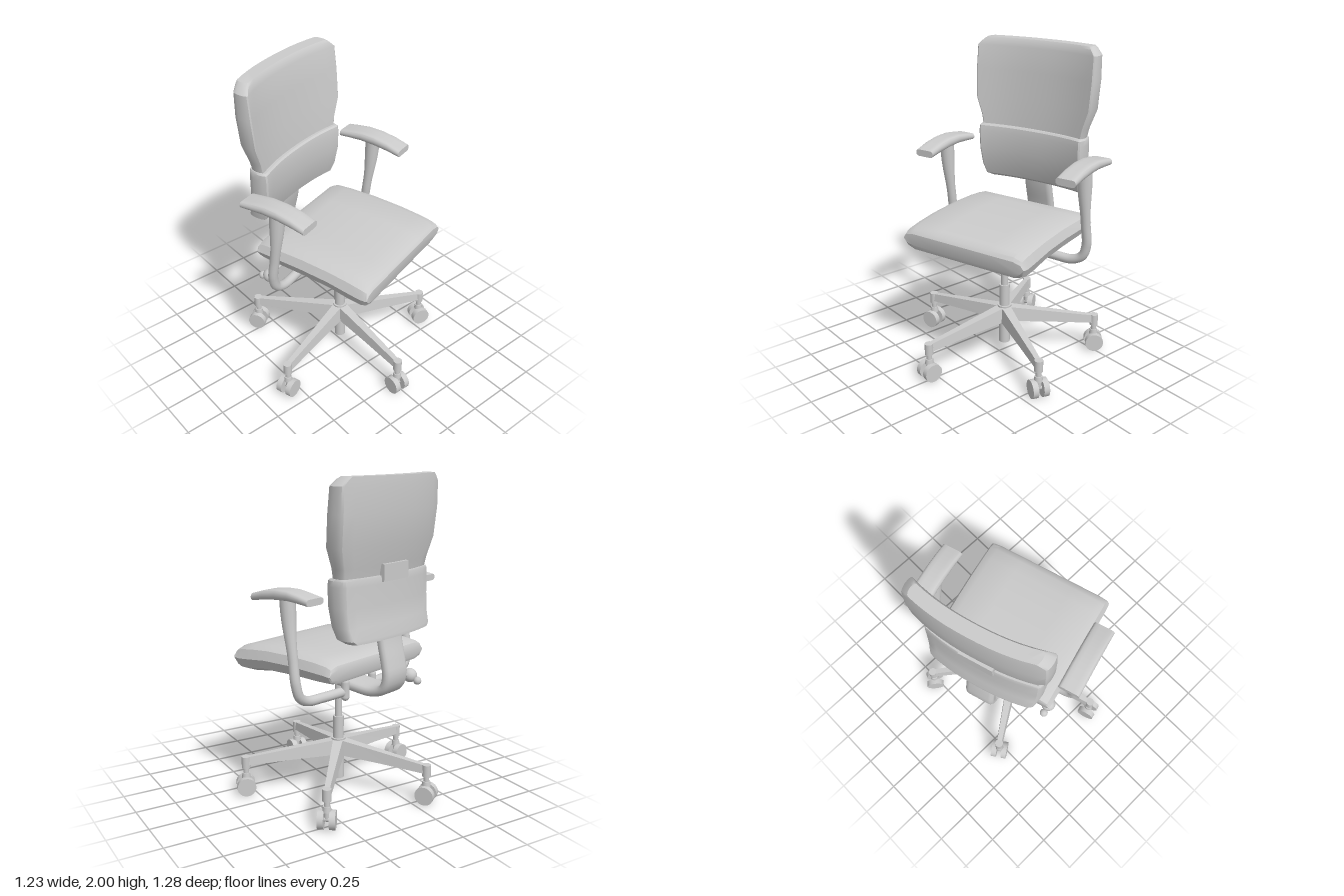
import * as THREE from 'three';
import { toCreasedNormals } from 'three/addons/utils/BufferGeometryUtils.js';

const material = new THREE.MeshStandardMaterial({ color: 0xcccccc, side: THREE.DoubleSide });

function add(parent, name, geometry, x = 0, y = 0, z = 0) {
  const mesh = new THREE.Mesh(geometry, material);
  mesh.name = name;
  mesh.position.set(x, y, z);
  parent.add(mesh);
  return mesh;
}

// Skin a list of rings (arrays of [x, y, z]) and cap both ends
function loft(rings, crease = 0.6) {
  const n = rings[0].length;
  const pos = rings.flat(2);
  const index = [];
  for (let i = 0; i < rings.length - 1; i++) {
    for (let j = 0; j < n; j++) {
      const a = i * n + j, b = i * n + (j + 1) % n;
      index.push(a, b, b + n, a, b + n, a + n);
    }
  }
  // Each cap is a strip between opposite points, so curved slabs close cleanly
  [0, rings.length - 1].forEach((r, end) => {
    for (let j = 0; j < n / 2 - 1; j++) {
      const [a, b, c, d] = [j, j + 1, n - 2 - j, n - 1 - j].map(k => r * n + k);
      if (end) index.push(a, b, c, a, c, d); else index.push(c, b, a, d, c, a);
    }
  });
  const g = new THREE.BufferGeometry();
  g.setAttribute('position', new THREE.Float32BufferAttribute(pos, 3));
  g.setIndex(index);
  return toCreasedNormals(g, crease);
}

// Slab outline: [side, s] pairs with s in -1..1 across the thickness and rounded ends of depth r
function slab(hw, r, spans = 12, arc = 6) {
  const pts = [];
  for (const sign of [1, -1]) {
    for (let i = 0; i <= arc; i++) {
      const a = -Math.PI / 2 + Math.PI * i / arc;
      pts.push([sign * (hw - r + r * Math.cos(a)), sign * Math.sin(a)]);
    }
    for (let i = 1; i < spans; i++) pts.push([sign * (hw - r) * (1 - 2 * i / spans), sign]);
  }
  // Start in the middle of one rounded end so both halves mirror each other
  return [...pts.slice(arc / 2), ...pts.slice(0, arc / 2)];
}

// Curved back panel; rows are [y, half width, front x, back x], both taken at the side edge
const backPanel = (rows, r, bend) => loft(rows.map(([y, hw, front, back]) =>
  slab(hw, r).map(([z, s]) => [
    (front + back) / 2 + s * (front - back) / 2 - bend * (1 - Math.abs(z / 0.43) ** 2.3), y, z])));

// Cushion running along x, front first; rows are [x, half width, bottom, top]
const cushion = (rows, r, cz, arc) => loft(rows.map(([x, hw, bottom, top]) =>
  slab(hw, r, 4, arc).map(([z, s]) => [x, (top + bottom) / 2 + s * (top - bottom) / 2, z + cz])));

// Tube along points [x, y, z], thick at the start and slimmer further on
function taperTube(points, r0, r1) {
  const curve = new THREE.CatmullRomCurve3(points.map(p => new THREE.Vector3(...p)));
  const g = new THREE.TubeGeometry(curve, 48, 1, 14);
  const p = g.attributes.position, v = new THREE.Vector3();
  for (let i = 0; i < p.count; i++) {
    const t = Math.floor(i / 15) / 48, c = curve.getPointAt(t);
    const r = r0 + (r1 - r0) * THREE.MathUtils.smoothstep(t, 0.05, 0.35);
    v.fromBufferAttribute(p, i).sub(c).multiplyScalar(r).add(c);
    p.setXYZ(i, v.x, v.y, v.z);
  }
  return g;
}

function makeBase() {
  const base = new THREE.Group();
  base.name = 'base';
  // Hub and gas column
  add(base, 'hub', new THREE.CylinderGeometry(0.046, 0.04, 0.12, 20), 0, 0.275);
  add(base, 'columnFoot', new THREE.CylinderGeometry(0.036, 0.036, 0.16, 20), 0, 0.145);
  add(base, 'columnSleeve', new THREE.CylinderGeometry(0.034, 0.034, 0.16, 20), 0, 0.4);
  add(base, 'columnRod', new THREE.CylinderGeometry(0.023, 0.023, 0.28, 20), 0, 0.61);
  for (let i = 0; i < 5; i++) {
    const arm = new THREE.Group();
    arm.name = 'baseArm';
    arm.rotation.y = -0.025 - i * Math.PI * 2 / 5;
    base.add(arm);
    // Tapered leg
    const rows = [[0.59, 0.021, 0.195, 0.247], [0.3, 0.031, 0.215, 0.288], [0.02, 0.042, 0.23, 0.328]];
    add(arm, 'leg', loft(rows.map(([x, w, b, t]) =>
      [[x, b, w], [x, t, w * 0.75], [x, t, -w * 0.75], [x, b, -w]])));
    // Castor: socket, stem, collar and twin wheels
    add(arm, 'castorSocket', new THREE.CylinderGeometry(0.027, 0.027, 0.075, 16), 0.595, 0.212);
    add(arm, 'castorStem', new THREE.CylinderGeometry(0.018, 0.018, 0.12, 12), 0.595, 0.125);
    add(arm, 'castorCollar', new THREE.CylinderGeometry(0.024, 0.028, 0.035, 14), 0.595, 0.125);
    add(arm, 'castorAxle', new THREE.CylinderGeometry(0.016, 0.016, 0.07, 12), 0.597, 0.062)
      .rotation.x = Math.PI / 2;
    for (const s of [-1, 1]) {
      add(arm, 'wheel', new THREE.CylinderGeometry(0.059, 0.059, 0.036, 24), 0.597, 0.059, s * 0.035)
        .rotation.x = Math.PI / 2;
    }
  }
  return base;
}

function makeUpper() {
  const upper = new THREE.Group();
  upper.name = 'swivelSeat';
  upper.rotation.y = 0.288;

  // Seat cushion with a dropping front edge
  add(upper, 'seat', cushion([
    [0.476, 0.438, 0.835, 0.91], [0.46, 0.44, 0.805, 0.932], [0.425, 0.442, 0.79, 0.947],
    [0.34, 0.442, 0.795, 0.962], [0.2, 0.441, 0.818, 0.975], [0, 0.44, 0.828, 0.983],
    [-0.2, 0.438, 0.83, 0.977], [-0.29, 0.436, 0.835, 0.967], [-0.325, 0.434, 0.845, 0.95],
    [-0.333, 0.432, 0.865, 0.93]], 0.075, -0.008, 4));

  // Upper back panel
  add(upper, 'upperBack', backPanel([
    [1.42, 0.37, -0.265, -0.35], [1.5, 0.385, -0.27, -0.365], [1.62, 0.427, -0.28, -0.395],
    [1.8, 0.434, -0.297, -0.414], [1.95, 0.432, -0.312, -0.415], [1.985, 0.4, -0.322, -0.413],
    [2.0, 0.38, -0.332, -0.412]], 0.016, 0.062));

  // Lumbar cushion and the tab rising from its shell
  add(upper, 'lumbarCushion', backPanel([
    [1.08, 0.34, -0.31, -0.405], [1.1, 0.365, -0.28, -0.405], [1.17, 0.378, -0.257, -0.385],
    [1.28, 0.385, -0.238, -0.375], [1.4, 0.388, -0.235, -0.372], [1.435, 0.387, -0.24, -0.37],
    [1.445, 0.38, -0.25, -0.367]], 0.022, 0.062));
  add(upper, 'shellTab', new THREE.BoxGeometry(0.035, 0.1, 0.22), -0.43, 1.46, 0);

  // Flat curved bar carrying the back
  const path = new THREE.CatmullRomCurve3([[-0.385, 1.2], [-0.405, 1.05], [-0.435, 0.92],
    [-0.447, 0.84], [-0.42, 0.765], [-0.34, 0.73], [-0.2, 0.73], [-0.02, 0.75]]
    .map(([x, y]) => new THREE.Vector3(x, y, 0)));
  const rings = [];
  for (let i = 0; i <= 32; i++) {
    const p = path.getPointAt(i / 32), t = path.getTangentAt(i / 32);
    rings.push(slab(0.098, 0.03, 2).map(([z, s]) =>
      [p.x + t.y * s * 0.03, p.y - t.x * s * 0.03, z]));
  }
  add(upper, 'backBar', loft(rings));

  // Tilt mechanism under the seat
  add(upper, 'seatPlate', new THREE.BoxGeometry(0.42, 0.03, 0.4), 0, 0.82, 0);
  add(upper, 'mechanismPlate', new THREE.BoxGeometry(0.3, 0.05, 0.26), 0.02, 0.79, 0);
  const block = new THREE.CylinderGeometry(0.17, 0.1, 0.07, 4);
  block.rotateY(Math.PI / 4);
  add(upper, 'mechanismBlock', block, 0.02, 0.75, 0);

  // Adjustment knob on its rod
  add(upper, 'knob', new THREE.SphereGeometry(0.046, 20, 14), -0.265, 0.715, 0.39);
  add(upper, 'knobRod', new THREE.CylinderGeometry(0.012, 0.012, 0.36, 10), -0.265, 0.725, 0.2)
    .rotation.x = Math.PI / 2;
  add(upper, 'smallKnob', new THREE.SphereGeometry(0.026, 14, 10), -0.325, 0.69, 0.39);

  // Armrests, mirrored
  for (const s of [-1, 1]) {
    const arm = new THREE.Group();
    arm.name = s < 0 ? 'leftArmrest' : 'rightArmrest';
    upper.add(arm);
    add(arm, 'armPad', cushion([
      [0.15, 0.067, 1.292, 1.335], [0.06, 0.067, 1.308, 1.362],
      [-0.04, 0.067, 1.32, 1.378], [-0.14, 0.067, 1.325, 1.38], [-0.23, 0.067, 1.32, 1.367],
      [-0.298, 0.067, 1.315, 1.355]], 0.02, s * 0.514, 6));
    add(arm, 'armPost', taperTube([
      [-0.08, 1.33, s * 0.512], [-0.095, 1.15, s * 0.512], [-0.12, 0.97, s * 0.512],
      [-0.14, 0.83, s * 0.512], [-0.143, 0.75, s * 0.485], [-0.14, 0.713, s * 0.42],
      [-0.145, 0.705, s * 0.3], [-0.16, 0.705, s * 0.12]], 0.046, 0.03));
    add(arm, 'armBracket', new THREE.CapsuleGeometry(0.026, 0.09, 6, 12), -0.17, 0.72, s * 0.125);
  }
  return upper;
}

export function createModel() {
  const chair = new THREE.Group();
  chair.name = 'officeChair';
  const base = makeBase(), upper = makeUpper();
  base.position.x = upper.position.x = -0.045;
  chair.add(base, upper);
  return chair;
}
